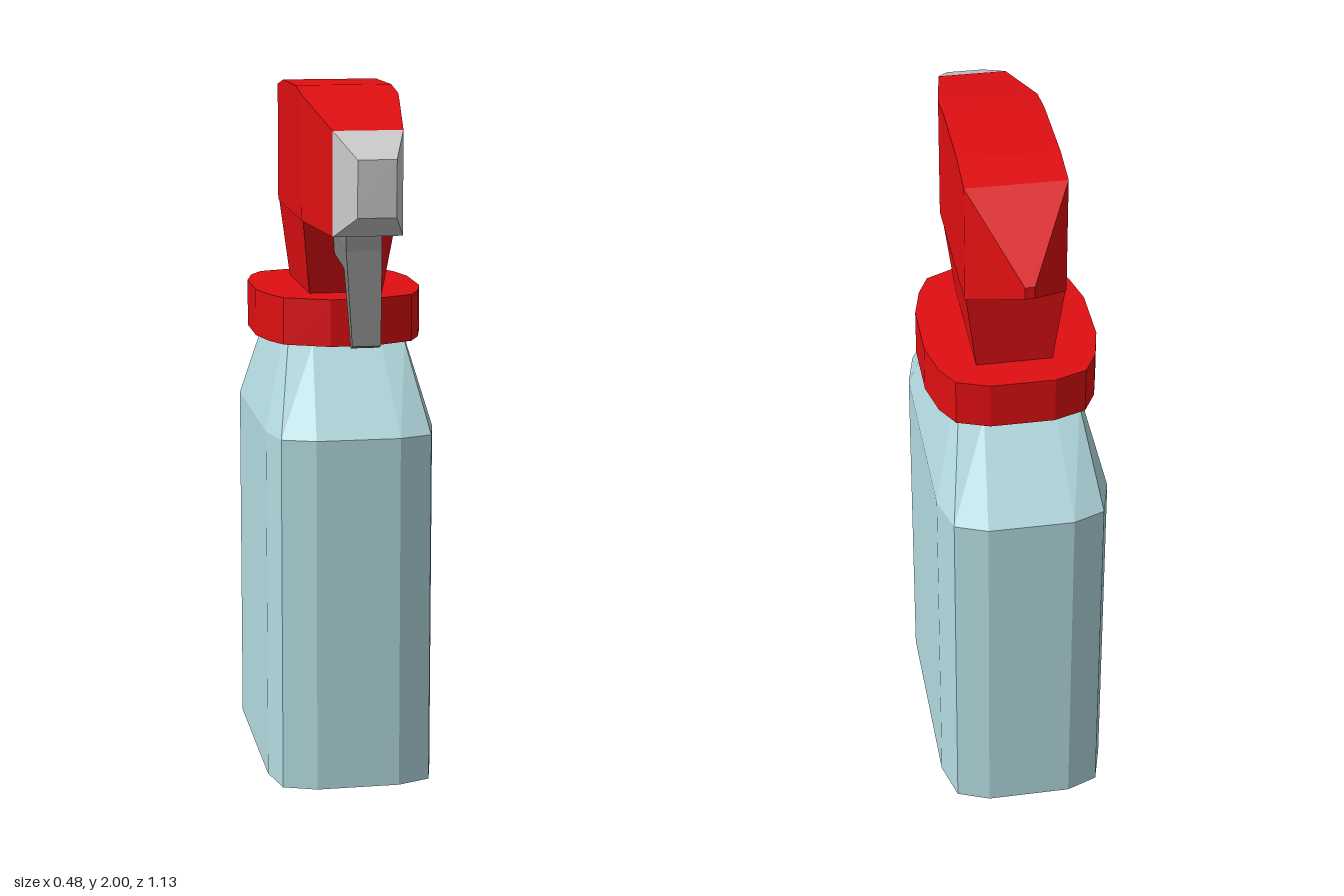
import * as THREE from 'three';

const mat = (color) => new THREE.MeshStandardMaterial({ color, flatShading: true });

// Skin between matching loops of [x, y, z]; loops run counter-clockwise seen from the last one
function loft(loops) {
  const pos = [];
  const n = loops[0].length;
  const tri = (a, b, c) => pos.push(...a, ...b, ...c);
  for (let k = 0; k < loops.length - 1; k++) {
    const lo = loops[k], hi = loops[k + 1];
    for (let i = 0; i < n; i++) {
      const j = (i + 1) % n;
      tri(lo[i], lo[j], hi[j]);
      tri(lo[i], hi[j], hi[i]);
    }
  }
  const first = loops[0], last = loops[loops.length - 1];
  for (let i = 1; i < n - 1; i++) {
    tri(first[0], first[i + 1], first[i]);
    tri(last[0], last[i], last[i + 1]);
  }
  const g = new THREE.BufferGeometry();
  g.setAttribute('position', new THREE.Float32BufferAttribute(pos, 3));
  g.computeVertexNormals();
  return g;
}

// Mirrors the +x half of an outline (front to back) and lays it at height y
function ring(half, y) {
  const left = [...half].reverse().map(([x, z]) => [-x, z]);
  return [...half, ...left].map(([x, z]) => [x, y, z]);
}

// Rectangular section across z, slightly off centre
const X0 = 0.006;
const section = ([z, w, y0, y1]) => [
  [X0 - w, y0, z], [X0 + w, y0, z], [X0 + w, y1, z], [X0 - w, y1, z],
];

export function createModel() {
  const model = new THREE.Group();
  const red = mat(0xe00f12), blue = mat(0xb4dce2), light = mat(0xcccccc), dark = mat(0x828282);
  const add = (name, geometry, material) => {
    const mesh = new THREE.Mesh(geometry, material);
    mesh.name = name;
    model.add(mesh);
  };

  // Bottle with bevelled corners and sloping shoulders
  const base = [[0.12, 0.325], [0.215, 0.29], [0.242, 0.17], [0.242, -0.415], [0.21, -0.53], [0.12, -0.565]];
  const mouth = [[0.1, 0.13], [0.17, 0.12], [0.18, 0.07], [0.18, -0.31], [0.17, -0.355], [0.1, -0.365]];
  add('bottle', loft([ring(base, 0), ring(base, 1.03), ring(mouth, 1.27), ring(mouth, 1.3)]), blue);

  // Screw collar
  const collar = [
    [0.06, 0.2], [0.185, 0.14], [0.218, 0.07], [0.242, -0.03],
    [0.242, -0.21], [0.218, -0.315], [0.18, -0.383], [0.09, -0.415],
  ];
  add('collar', loft([ring(collar, 1.275), ring(collar, 1.41)]), red);

  // Neck widening into the head
  const neck = (w, front, back, y) => [
    [X0 + w, y, front], [X0 + w, y, back], [X0 - w, y, back], [X0 - w, y, front],
  ];
  add('neck', loft([neck(0.105, 0.07, -0.31, 1.4), neck(0.135, 0.14, -0.325, 1.635)]), red);

  // Spray head: z, half width, bottom, top
  add('sprayHead', loft([
    [-0.54, 0.013, 1.765, 1.8],
    [-0.325, 0.138, 1.635, 1.98],
    [-0.21, 0.138, 1.632, 2],
    [0.03, 0.138, 1.63, 2],
    [0.14, 0.138, 1.628, 1.982],
    [0.425, 0.097, 1.618, 1.905],
  ].map(section)), red);

  // Tapered nozzle
  add('nozzle', loft([[0.425, 0.097, 1.618, 1.905], [0.565, 0.053, 1.685, 1.84]].map(section)), light);

  // Trigger: side profile (z, y) extruded across x, flared at the top
  const profile = [[0.365, 1.63], [0.14, 1.63], [0.112, 1.53], [0.275, 1.51], [0.385, 1.303], [0.41, 1.312], [0.368, 1.57]];
  const shape = new THREE.Shape(profile.map(([z, y]) => new THREE.Vector2(z, y)));
  const trigger = new THREE.ExtrudeGeometry(shape, { depth: 0.08, bevelEnabled: false });
  trigger.rotateY(-Math.PI / 2).translate(0.04, 0, 0);
  const p = trigger.attributes.position;
  for (let i = 0; i < p.count; i++) {
    p.setX(i, X0 + p.getX(i) * (p.getY(i) > 1.56 ? 1.25 : 1));
  }
  trigger.computeVertexNormals();
  add('trigger', trigger, dark);

  return model;
}
